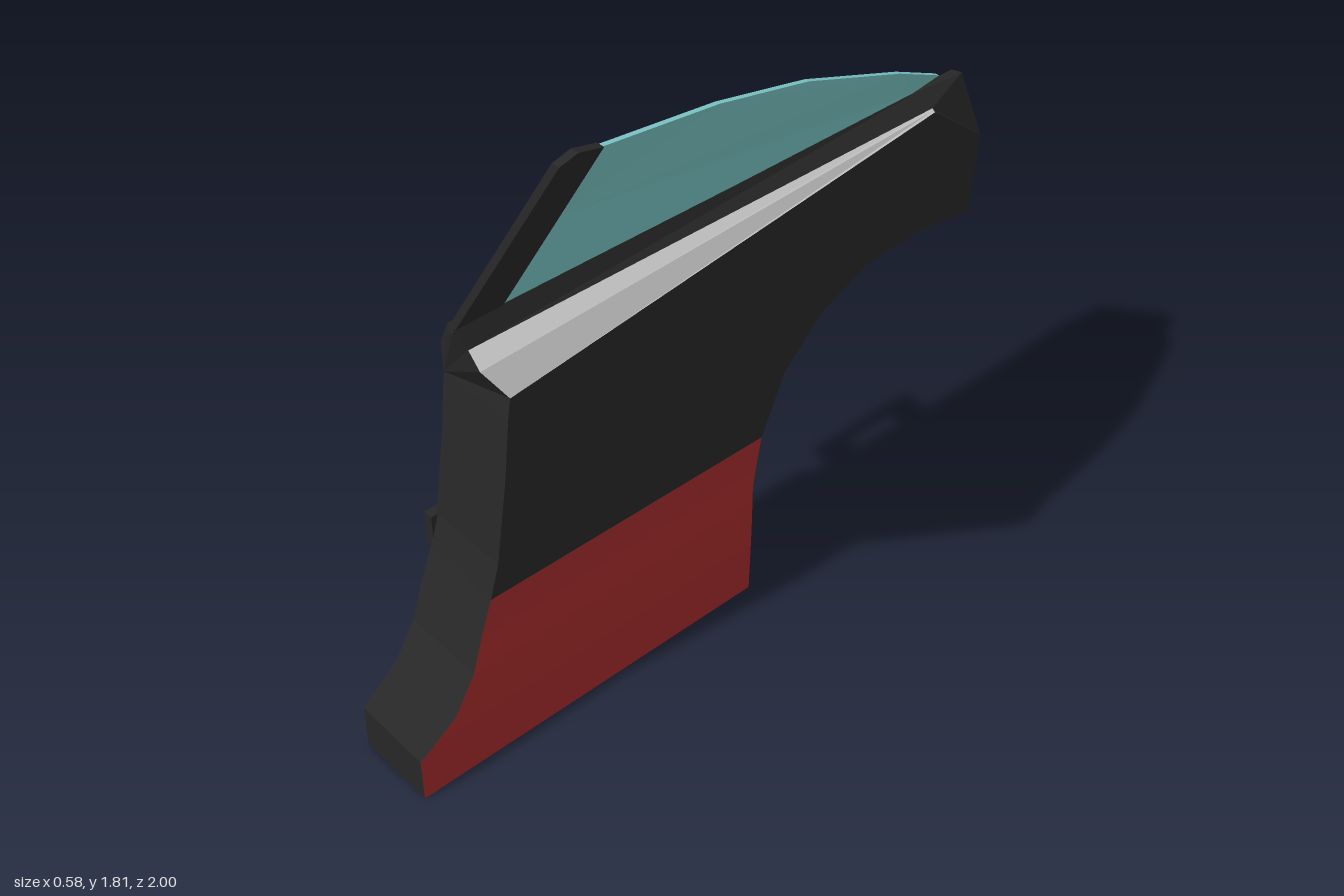
import * as THREE from 'three';

const material = (color) =>
  new THREE.MeshStandardMaterial({ color, flatShading: true, side: THREE.DoubleSide });

function meshFrom(name, positions, index, mat) {
  const geo = new THREE.BufferGeometry();
  geo.setAttribute('position', new THREE.Float32BufferAttribute(positions.flat(), 3));
  geo.setIndex(index);
  geo.computeVertexNormals();
  const mesh = new THREE.Mesh(geo, mat);
  mesh.name = name;
  return mesh;
}

// Skin a list of equally long cross-sections
function loft(name, rows, mat) {
  const n = rows[0].length, index = [];
  for (let i = 0; i < rows.length - 1; i++)
    for (let j = 0; j < n - 1; j++) {
      const a = i * n + j, b = a + n;
      index.push(a, b, a + 1, b, b + 1, a + 1);
    }
  return meshFrom(name, rows.flat(), index, mat);
}

// Fill an outline of [x, y, z] points seen from the side; t is its thickness in x
function sheet(name, pts, mat, t = 0) {
  const n = pts.length;
  const flat = pts.map(([, y, z]) => new THREE.Vector2(-z, y));
  const tris = THREE.ShapeUtils.triangulateShape(flat, []);
  if (THREE.ShapeUtils.isClockWise(flat)) tris.forEach((f) => f.reverse());
  const index = tris.flat(), pos = pts.map(([x, y, z]) => [x + t / 2, y, z]);
  if (t) {
    pos.push(...pts.map(([x, y, z]) => [x - t / 2, y, z]));
    tris.forEach(([a, b, c]) => index.push(a + n, c + n, b + n));
    for (let i = 0; i < n; i++) {
      const j = (i + 1) % n;
      index.push(i, i + n, j, j, i + n, j + n);
    }
  }
  return meshFrom(name, pos, index, mat);
}

// Piecewise linear lookup in [y, value] pairs
function lookup(table, y) {
  if (y <= table[0][0]) return table[0][1];
  for (let i = 1; i < table.length; i++) {
    const [y0, v0] = table[i - 1], [y1, v1] = table[i];
    if (y <= y1) return v0 + ((v1 - v0) * (y - y0)) / (y1 - y0);
  }
  return table[table.length - 1][1];
}

export function createModel() {
  const group = new THREE.Group();
  group.name = 'door';
  const black = material(0x272727), red = material(0xa02a2a);
  const grey = material(0xcccccc), teal = material(0x7cc8c8);
  const add = (...meshes) => group.add(...meshes);

  // Edge profiles, as [y, z], and side profiles, as [y, x]
  const base = 0.005;
  const front = [[base, 1], [0.14, 1], [0.215, 0.88], [0.31, 0.81], [0.5, 0.73], [0.6, 0.7], [0.85, 0.66], [1.02, 0.64]];
  const arch = [[base, -0.125], [0.17, -0.13], [0.35, -0.15], [0.5, -0.19], [0.68, -0.27], [0.81, -0.4], [0.89, -0.57], [0.905, -0.78], [0.88, -0.98]];
  const innerX = [[0.14, -0.135], [0.22, -0.15], [0.37, -0.165], [0.5, -0.17]];
  const outerX = [[0.17, 0.11], [0.28, 0.1], [0.4, 0.086], [0.5, 0.08]];
  const across = ([y, z]) => [[lookup(innerX, y), y, z], [lookup(outerX, y), y, z]];

  // Lower skins, curving inward at the sill
  const levels = [base, 0.14, 0.17, 0.215, 0.25, 0.31, 0.35, 0.4, 0.45, 0.5];
  for (const [name, side] of [['lowerInnerPanel', innerX], ['lowerOuterPanel', outerX]])
    add(loft(name, levels.map((y) => {
      const x = lookup(side, y);
      return [[x, y, lookup(front, y)], [x, y, lookup(arch, y)]];
    }), red));

  // Edge walls: front jamb, sill, lower rear edge and wheel arch
  add(
    loft('frontJamb', [...levels.map((y) => [y, lookup(front, y)]), ...front.slice(5)].map(across), black),
    loft('sillBottom', [front[0], arch[0]].map(across), black),
    loft('lowerRearEdge', levels.slice(0, 7).map((y) => across([y, lookup(arch, y)])), red),
    loft('wheelArch', arch.slice(2).map(across), black),
  );

  // Upper skins
  const at = (x) => ([y, z]) => [x, y, z];
  const frontUp = front.slice(4), archUp = arch.slice(3).reverse();
  add(
    sheet('upperOuterPanel', [...frontUp, [1.08, 0.63], [1.27, -0.8], [1.12, -1], ...archUp].map(at(0.08)), black),
    sheet('upperInnerPanel', [...frontUp, [1.11, 0.64], [1.11, -1], ...archUp.slice(1)].map(at(-0.17)), red),
    sheet('innerRearCorner', [[1.11, -1], [0.88, -0.98], [0.905, -0.78]].map(at(-0.17)), black),
  );

  // Shoulder sections from the inner side over the ridge to the outer side
  const nose = [[-0.17, 1.11, 0.64], [-0.06, 1.25, 0.69], [-0.02, 1.26, 0.7], [0, 1.2, 0.68], [0.04, 1.16, 0.68], [0.08, 1.08, 0.63]];
  const tail = [[-0.17, 1.11, -0.8], [-0.01, 1.3, -0.8], [0.03, 1.318, -0.77], [0.07, 1.278, -0.8], [0.075, 1.274, -0.8], [0.08, 1.27, -0.8]];
  const end = [[-0.17, 1.11, -1], [-0.02, 1.29, -0.975], [0.02, 1.3, -0.97], [0.08, 1.12, -1]];
  add(
    loft('shoulder', [nose.slice(0, 4), tail.slice(0, 4)], black),
    loft('shoulderTrim', [nose.slice(3), tail.slice(3)], grey),
    loft('shoulderEnd', [tail.slice(0, 4), end], black),
    meshFrom('outerEndCorner', [tail[3], tail[5], end[3]], [0, 1, 2], black),
    meshFrom('rearFace', [[-0.17, 0.88, -0.98], ...end, [0.08, 0.88, -0.98]], [0, 1, 2, 0, 2, 3, 0, 3, 4, 0, 4, 5], black),
    meshFrom('noseFace', [[-0.17, 1.02, 0.64], ...nose, [0.08, 1.02, 0.64]],
      [0, 2, 1, 0, 3, 2, 0, 4, 3, 0, 5, 4, 0, 6, 5, 0, 7, 6], black),
  );

  // Leaning window pillar and pane
  const lean = ([y, z]) => [-0.028 + (y - 1.26) * 0.555, y, z];
  add(
    sheet('windowPillar', [[1.24, 0.7], [1.79, 0.61], [1.815, 0.57], [1.79, 0.49], [1.55, 0.523], [1.25, 0.565], [1.22, 0.68]].map(lean), black, 0.024),
    sheet('windowPane', [[-0.028, 1.255, 0.566], [0.12, 1.55, 0.524], [0.268, 1.79, 0.49], [0.236, 1.735, 0.13],
      [0.195, 1.65, -0.19], [0.115, 1.48, -0.6], [0.068, 1.375, -0.81], [0.028, 1.325, -0.76]], teal, 0.014),
  );

  // Inner pull handle and rub strip
  const box = (name, size, pos) => {
    const mesh = new THREE.Mesh(new THREE.BoxGeometry(...size), black);
    mesh.position.set(...pos);
    mesh.name = name;
    add(mesh);
  };
  box('handleGrip', [0.032, 0.1, 0.335], [-0.269, 1.05, -0.013]);
  for (const z of [-0.163, 0.138]) box('handleMount', [0.09, 0.1, 0.034], [-0.211, 1.05, z]);
  box('rubStrip', [0.03, 0.1, 0.82], [-0.181, 0.55, 0.31]);

  return group;
}
